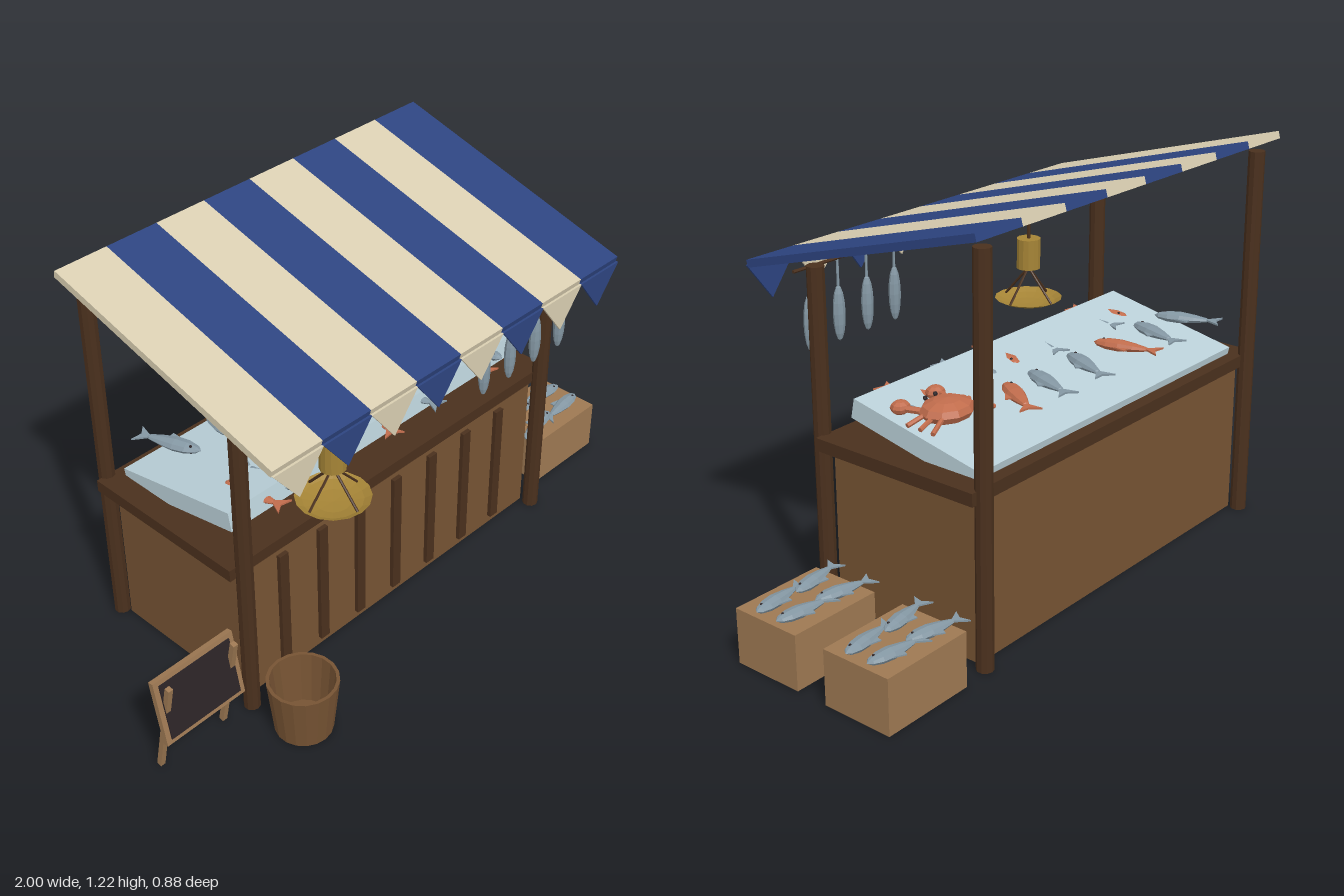
import * as THREE from 'three';

const mat = (name, color, double) => {
  const m = new THREE.MeshStandardMaterial({ color });
  m.name = name;
  m.flatShading = true;
  if (double) m.side = THREE.DoubleSide;
  return m;
};
const M = {
  cream: mat('cream cloth', 0xd9ceb1), blue: mat('blue cloth', 0x2d4480),
  wood: mat('wood', 0x765333, true), dark: mat('dark wood', 0x4a301d),
  pale: mat('pale wood', 0x9d7852), ice: mat('ice', 0xbad0d8),
  silver: mat('silver fish', 0x8497a3), orange: mat('orange seafood', 0xc06c4c),
  black: mat('slate', 0x2b2326), brass: mat('brass', 0xa58436, true),
};
const CX = -0.02; // middle of the stall

function add(parent, name, geo, material, x = 0, y = 0, z = 0, rx = 0, ry = 0, rz = 0) {
  const m = new THREE.Mesh(geo, material);
  m.name = name;
  m.position.set(x, y, z);
  m.rotation.set(rx, ry, rz);
  parent.add(m);
  return m;
}
const box = (w, h, d) => new THREE.BoxGeometry(w, h, d);
const ball = (r, w = 8, h = 6) => new THREE.SphereGeometry(r, w, h);

// Thin rod between two points
function rod(parent, name, a, b, r, material, sides = 6) {
  const p = new THREE.Vector3(...a), q = new THREE.Vector3(...b);
  const m = add(parent, name, new THREE.CylinderGeometry(r, r, p.distanceTo(q), sides), material);
  m.position.copy(p).add(q).multiplyScalar(0.5);
  m.quaternion.setFromUnitVectors(new THREE.Vector3(0, 1, 0), q.sub(p).normalize());
  return m;
}

// Flat outline lying in the xz plane
function flat(points, depth) {
  const s = new THREE.Shape(points.map(p => new THREE.Vector2(...p)));
  return new THREE.ExtrudeGeometry(s, { depth, bevelEnabled: false })
    .translate(0, 0, -depth / 2).rotateX(-Math.PI / 2);
}

// Fish lying on its side, head towards +x
const fishBody = new THREE.LatheGeometry(
  [[0.0, -0.075], [0.009, -0.07], [0.018, -0.035], [0.025, 0.005], [0.023, 0.04], [0.014, 0.067], [0, 0.08]]
    .map(p => new THREE.Vector2(...p)), 8).rotateZ(-Math.PI / 2).scale(1, 0.62, 1);
const fishTail = flat([[-0.065, 0], [-0.108, 0.03], [-0.095, 0], [-0.108, -0.03]], 0.005);
const fishFin = flat([[0.03, 0.018], [-0.02, 0.036], [-0.025, 0.014]], 0.004);
function fish(parent, material, x, y, z, turn, size = 1) {
  const g = new THREE.Group();
  g.name = 'fish';
  add(g, 'fishBody', fishBody, material);
  add(g, 'fishTail', fishTail, material);
  add(g, 'fishFin', fishFin, material);
  for (const s of [-1, 1]) add(g, 'fishEye', ball(0.0045, 6, 4), M.black, 0.053, s * 0.009, 0.006);
  g.position.set(x, y, z);
  g.rotation.y = turn;
  g.scale.setScalar(size);
  parent.add(g);
}

function counter(root) {
  const g = new THREE.Group();
  g.name = 'counter';
  add(g, 'counterBody', box(1.24, 0.49, 0.517), M.wood, CX, 0.245, -0.117);
  add(g, 'counterTop', box(1.34, 0.038, 0.56), M.dark, CX, 0.506, -0.12);
  for (let i = -3; i <= 3; i++)
    add(g, 'frontSlat', box(0.033, 0.42, 0.016), M.dark, CX + i * 0.155, 0.24, 0.147);
  for (const s of [-1, 1]) {
    add(g, 'frontPost', new THREE.CylinderGeometry(0.025, 0.025, 1.005, 10), M.dark, CX + s * 0.63, 0.5025, 0.175);
    add(g, 'backPost', new THREE.CylinderGeometry(0.025, 0.025, 1.168, 10), M.dark, CX + s * 0.63, 0.584, -0.405);
  }
  add(g, 'iceBed', box(1.195, 0.06, 0.455), M.ice, CX, 0.563, -0.135, -0.2);
  root.add(g);
}

function awning(root) {
  const g = new THREE.Group();
  g.name = 'awning';
  const w = 1.39 / 8;
  const tri = new THREE.ExtrudeGeometry(new THREE.Shape([
    new THREE.Vector2(-w / 2, 0), new THREE.Vector2(0, -0.112), new THREE.Vector2(w / 2, 0),
  ]), { depth: 0.007, bevelEnabled: false });
  for (let i = 0; i < 8; i++) {
    const m = i % 2 ? M.blue : M.cream, x = CX + (i - 3.5) * w;
    add(g, 'awningStripe', box(w, 0.022, 0.84), m, x, 1.098, -0.035, 0.27);
    add(g, 'valancePennant', tri, m, x, 0.981, 0.37);
  }
  root.add(g);
}

function crab(parent, x, y, z) {
  const g = new THREE.Group();
  g.name = 'crab';
  add(g, 'crabShell', ball(1, 10, 6), M.orange).scale.set(0.085, 0.034, 0.07);
  for (const s of [-1, 1]) {
    rod(g, 'crabArm', [s * 0.055, 0, 0.04], [s * 0.075, 0, 0.1], 0.01, M.orange);
    add(g, 'crabClaw', ball(1), M.orange, s * 0.07, 0, 0.105).scale.set(0.03, 0.02, 0.027);
    add(g, 'crabEye', ball(0.007, 6, 4), M.black, s * 0.02, 0.022, 0.06);
    for (let i = 0; i < 3; i++)
      rod(g, 'crabLeg', [s * 0.06, 0, 0.02 - i * 0.028], [s * 0.125, -0.016, 0.03 - i * 0.045], 0.007, M.orange);
  }
  g.position.set(x, y, z);
  parent.add(g);
}

function seafood(root) {
  const g = new THREE.Group();
  g.name = 'seafoodDisplay';
  const S = M.silver, O = M.orange, toFront = -Math.PI / 2;
  // Back row: colour, x, turn
  [[S, -0.52, 0.35], [S, -0.36, -0.3], [O, -0.2, 0.25], [S, -0.015, -0.4], [S, 0.16, -0.35], [O, 0.29, -0.55]]
    .forEach(([m, x, t]) => fish(g, m, x, 0.645, -0.25, toFront + t, 1.1));
  // Front row, some with tails to the front
  [[O, -0.49, Math.PI + 0.2], [S, -0.4, 0.2], [S, -0.15, -0.2], [O, 0.01, Math.PI - 0.3],
    [S, 0.15, Math.PI + 0.2], [O, 0.39, Math.PI + 0.15], [S, 0.48, 0.1]]
    .forEach(([m, x, t]) => fish(g, m, x, 0.607, 0.03, toFront + t, 1.1));
  crab(g, 0.47, 0.637, -0.16);
  root.add(g);
}

function hangingFish(root) {
  const g = new THREE.Group();
  g.name = 'hangingFish';
  rod(g, 'hangingRail', [0.14, 0.957, 0.288], [0.585, 0.957, 0.288], 0.005, M.dark);
  for (let i = 0; i < 4; i++) {
    const x = 0.19 + i * 0.114;
    rod(g, 'string', [x, 0.86, 0.288], [x, 0.957, 0.288], 0.004, M.silver);
    add(g, 'hungFish', ball(1, 8, 8), M.silver, x, 0.795, 0.288).scale.set(0.02, 0.083, 0.016);
  }
  root.add(g);
}

function scale(root) {
  const g = new THREE.Group();
  g.name = 'hangingScale';
  rod(g, 'scaleRod', [0, 0.84, 0], [0, 1.01, 0], 0.006, M.dark);
  add(g, 'scaleBody', new THREE.CylinderGeometry(0.038, 0.038, 0.097, 14), M.brass, 0, 0.793, 0);
  for (let i = 0; i < 4; i++) {
    const a = i * Math.PI / 2;
    rod(g, 'scaleWire', [0, 0.745, 0], [0.092 * Math.cos(a), 0.642, 0.092 * Math.sin(a)], 0.004, M.dark);
  }
  const pan = [[0, 0.625], [0.05, 0.628], [0.085, 0.636], [0.107, 0.647]].map(p => new THREE.Vector2(...p));
  add(g, 'scalePan', new THREE.LatheGeometry(pan, 16), M.brass);
  g.position.set(-0.375, 0, 0.24);
  root.add(g);
}

function crates(root) {
  for (const z of [0.012, -0.313]) {
    const g = new THREE.Group();
    g.name = 'fishCrate';
    add(g, 'crate', box(0.293, 0.165, 0.223), M.pale, 0.853, 0.0825, z);
    for (const s of [-1, 1]) {
      fish(g, M.silver, 0.775, 0.177, z + s * 0.05, s * 0.18);
      fish(g, M.silver, 0.915, 0.177, z + s * 0.046, s * 0.12);
    }
    root.add(g);
  }
}

function basket(root) {
  const prof = [[0, 0], [0.085, 0], [0.104, 0.18], [0.094, 0.18], [0.078, 0.015], [0, 0.015]];
  add(root, 'basket', new THREE.LatheGeometry(prof.map(p => new THREE.Vector2(...p)), 18), M.wood, -0.6, 0, 0.336);
}

function signBoard(root) {
  const g = new THREE.Group();
  g.name = 'signBoard';
  const board = new THREE.Group();
  board.name = 'board';
  add(board, 'boardFrame', box(0.28, 0.208, 0.018), M.pale);
  add(board, 'boardSlate', box(0.248, 0.178, 0.006), M.black, 0, 0, 0.01);
  board.position.set(-0.86, 0.245, 0.2);
  board.rotation.x = -0.2;
  g.add(board);
  for (const s of [-1, 1])
    add(g, 'boardLeg', box(0.016, 0.345, 0.016), M.pale, -0.86 + s * 0.115, 0.171, 0.19, 0.2);
  root.add(g);
}

export function createModel() {
  const root = new THREE.Group();
  root.name = 'fishStall';
  [counter, awning, seafood, hangingFish, scale, crates, basket, signBoard].forEach(f => f(root));
  return root;
}
